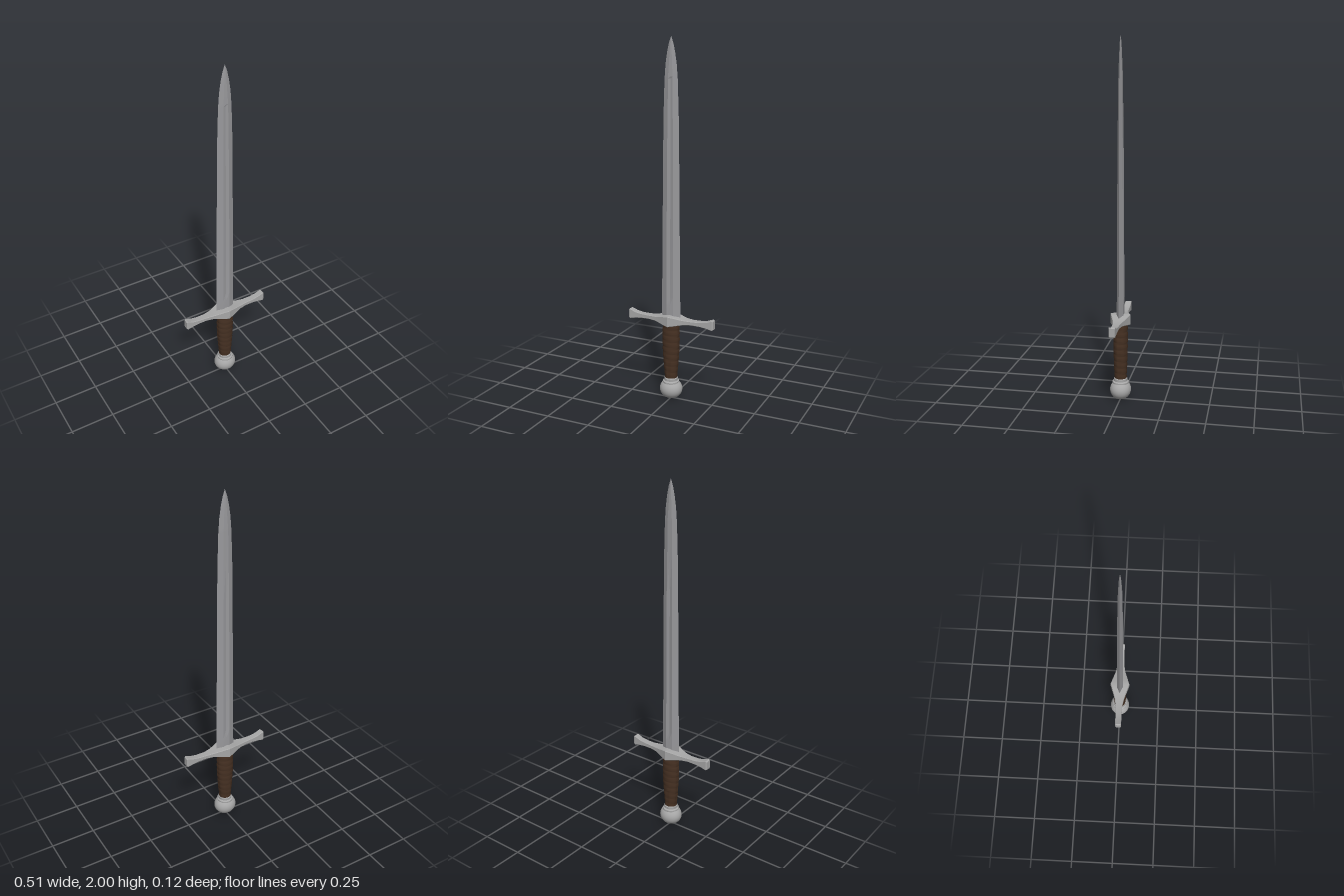
import * as THREE from 'three';
import { toCreasedNormals } from 'three/addons/utils/BufferGeometryUtils.js';

// Skin a list of equal-length rings (counter-clockwise seen from the far end) and cap both ends.
function loft(rings, crease) {
  const n = rings[0].length, pos = [];
  const tri = (...pts) => pts.forEach((p) => pos.push(...p));
  for (let i = 0; i < rings.length - 1; i++) {
    for (let j = 0; j < n; j++) {
      const k = (j + 1) % n;
      const a = rings[i][j], b = rings[i][k], c = rings[i + 1][k], d = rings[i + 1][j];
      tri(a, b, c);
      tri(a, c, d);
    }
  }
  const first = rings[0], last = rings[rings.length - 1];
  for (let j = 1; j < n - 1; j++) {
    tri(first[0], first[j + 1], first[j]);
    tri(last[0], last[j], last[j + 1]);
  }
  const geo = new THREE.BufferGeometry();
  geo.setAttribute('position', new THREE.Float32BufferAttribute(pos, 3));
  return toCreasedNormals(geo, crease);
}

// Blade: hexagonal section with a shallow fuller on each face.
function bladeGeometry() {
  // y, half width, half thickness, half fuller width, front groove, back groove
  const stations = [
    [0.45, 0.057, 0.018, 0.02, 0, 0],
    [0.55, 0.056, 0.018, 0.02, 0, 0],
    [0.6, 0.055, 0.0175, 0.02, 0.005, 0.005],
    [1.0, 0.051, 0.016, 0.019, 0.005, 0.005],
    [1.4, 0.047, 0.014, 0.017, 0.004, 0.004],
    [1.6, 0.044, 0.012, 0.015, 0.004, 0.001],
    [1.785, 0.038, 0.01, 0.013, 0.003, 0],
    [1.795, 0.037, 0.01, 0.013, 0, 0],
    [1.86, 0.032, 0.008, 0.009, 0, 0],
    [1.92, 0.023, 0.006, 0.006, 0, 0],
    [1.965, 0.013, 0.004, 0.003, 0, 0],
    [2.0, 0.0005, 0.0003, 0.0002, 0, 0],
  ];
  return loft(stations.map(([y, w, t, f, gf, gb]) => [
    [w, y, 0], [f, y, -t], [0, y, gb - t], [-f, y, -t],
    [-w, y, 0], [-f, y, t], [0, y, t - gf], [f, y, t],
  ]), 0.12);
}

// Crossguard: half profile mirrored about x = 0.
function guardGeometry() {
  // x, half depth, bottom, top
  const half = [
    [0, 0.056, 0.436, 0.497],
    [0.03, 0.046, 0.441, 0.491],
    [0.06, 0.036, 0.447, 0.484],
    [0.09, 0.027, 0.452, 0.479],
    [0.13, 0.02, 0.454, 0.477],
    [0.18, 0.018, 0.452, 0.479],
    [0.215, 0.018, 0.448, 0.485],
    [0.25, 0.018, 0.44, 0.498],
    [0.257, 0.014, 0.445, 0.493],
  ];
  const mirrored = half.slice(1).reverse().map(([x, ...r]) => [-x, ...r]);
  const b = 0.003; // edge bevel
  return loft([...mirrored, ...half].map(([x, d, lo, hi]) => [
    [x, lo + b, -d], [x, hi - b, -d], [x, hi, b - d], [x, hi, d - b],
    [x, hi - b, d], [x, lo + b, d], [x, lo, d - b], [x, lo, b - d],
  ]), 0.42);
}

// Grip: oval column whose surface steps along a leather spiral.
function gripGeometry() {
  const rows = 100, sides = 28, y0 = 0.12, y1 = 0.442, turns = 9;
  const outline = new THREE.SplineCurve([
    [0.035, 0.034], [0.042, 0.037], [0.048, 0.039], [0.05, 0.04], [0.048, 0.039],
  ].map((p) => new THREE.Vector2(...p)));
  const rings = [];
  for (let i = 0; i <= rows; i++) {
    const t = i / rows, size = outline.getPoint(t), ring = [];
    for (let j = 0; j < sides; j++) {
      const u = j / sides, a = u * Math.PI * 2;
      const phase = (t * turns + u + 1) % 1;
      const s = 0.95 + 0.06 * Math.pow(Math.sin(phase * Math.PI), 0.5);
      ring.push([size.x * s * Math.cos(a), y0 + (y1 - y0) * t, -size.y * s * Math.sin(a)]);
    }
    rings.push(ring);
  }
  return loft(rings, 0.7);
}

export function createModel() {
  const bladeSteel = new THREE.MeshStandardMaterial({ color: 0x98989b });
  const fittingSteel = new THREE.MeshStandardMaterial({ color: 0xa6a6a6 });
  const leather = new THREE.MeshStandardMaterial({ color: 0x453022 });
  bladeSteel.name = 'blade steel';
  fittingSteel.name = 'fitting steel';
  leather.name = 'brown leather';

  const sword = new THREE.Group();
  sword.name = 'sword';
  const add = (name, geometry, material) => {
    const mesh = new THREE.Mesh(geometry, material);
    mesh.name = name;
    sword.add(mesh);
    return mesh;
  };

  add('blade', bladeGeometry(), bladeSteel);
  add('crossguard', guardGeometry(), fittingSteel);
  add('grip', gripGeometry(), leather);

  // Pommel ball with a rounded collar under the grip
  const ball = add('pommel', new THREE.SphereGeometry(1, 32, 20), fittingSteel);
  ball.scale.set(0.065, 0.057, 0.059);
  ball.position.y = 0.057;
  const collarProfile = [[0, 0.095], [0.046, 0.095], [0.046, 0.104], [0.038, 0.109], [0.038, 0.122], [0.035, 0.126], [0, 0.126]];
  const collar = new THREE.LatheGeometry(collarProfile.map((p) => new THREE.Vector2(...p)), 32);
  add('pommelCollar', toCreasedNormals(collar, 0.6), fittingSteel);

  return sword;
}
